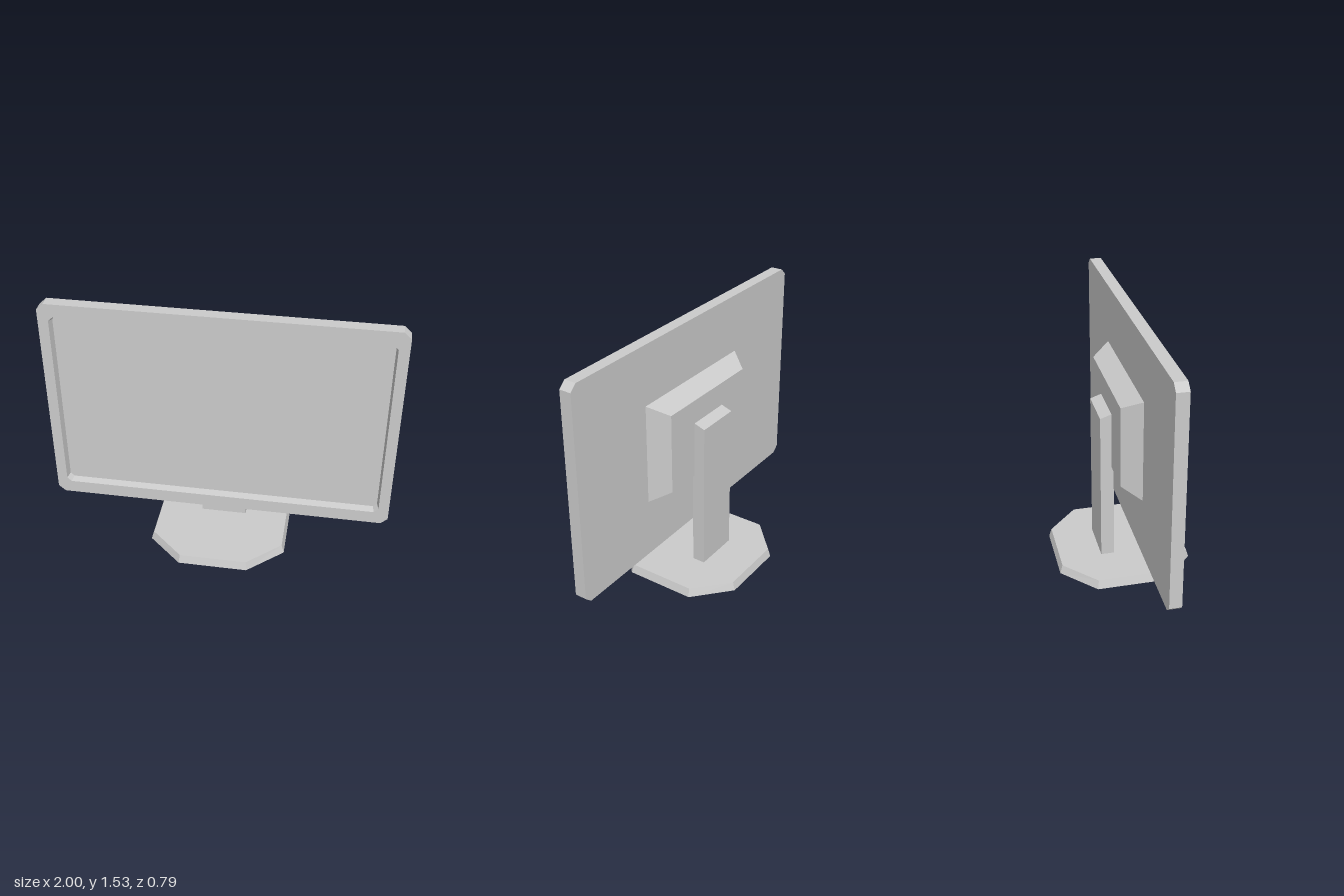
import * as THREE from 'three';

const material = new THREE.MeshStandardMaterial({ color: 0xcccccc, flatShading: true });

// Rectangle with cut corners, counter-clockwise seen from +z
function cutRect(hw, hh, cx, cy, z) {
  return [
    [hw, -hh + cy], [hw, hh - cy], [hw - cx, hh], [-hw + cx, hh],
    [-hw, hh - cy], [-hw, -hh + cy], [-hw + cx, -hh], [hw - cx, -hh],
  ].map(([x, y]) => new THREE.Vector3(x, y, z));
}

// Plain rectangle, same winding
function rect(hw, hh, z) {
  return [[hw, -hh], [hw, hh], [-hw, hh], [-hw, -hh]].map(([x, y]) => new THREE.Vector3(x, y, z));
}

// Faceted skin through a list of rings, with optional end caps
function loft(rings, capStart = true, capEnd = true) {
  const pts = [];
  const n = rings[0].length;
  for (let r = 0; r < rings.length - 1; r++) {
    const a = rings[r], b = rings[r + 1];
    for (let i = 0; i < n; i++) {
      const j = (i + 1) % n;
      pts.push(a[i], a[j], b[j], a[i], b[j], b[i]);
    }
  }
  const first = rings[0], last = rings[rings.length - 1];
  for (let i = 1; i < n - 1; i++) {
    if (capStart) pts.push(first[0], first[i + 1], first[i]);
    if (capEnd) pts.push(last[0], last[i], last[i + 1]);
  }
  const geometry = new THREE.BufferGeometry().setFromPoints(pts);
  geometry.computeVertexNormals();
  return geometry;
}

export function createModel() {
  const model = new THREE.Group();
  model.name = 'monitor';
  const add = (name, geometry, x = 0, y = 0, z = 0) => {
    const mesh = new THREE.Mesh(geometry, material);
    mesh.name = name;
    mesh.position.set(x, y, z);
    model.add(mesh);
  };

  // Display casing: back, outer edge, front rim and sloping recess wall
  const recess = cutRect(0.93, 0.56, 0.022, 0.022, 0.07);
  add('casing', loft([
    cutRect(1, 0.65, 0.04, 0.037, 0.042),
    cutRect(1, 0.65, 0.04, 0.037, 0.112),
    cutRect(0.94, 0.57, 0.025, 0.025, 0.112),
    recess,
  ], true, false), 0, 0.88, 0);

  // Screen at the bottom of the recess
  add('screen', new THREE.ShapeGeometry(new THREE.Shape(recess.map((p) => new THREE.Vector2(p.x, p.y)))), 0, 0.88, 0.07);

  // Tapered housing on the back
  add('backHousing', loft([rect(0.355, 0.24, -0.066), rect(0.435, 0.3, 0.042)]), 0, 0.88, 0);

  // Stand post with its top sloping down to the rear
  const post = new THREE.BoxGeometry(0.275, 0.94, 0.077).toNonIndexed();
  const pos = post.attributes.position;
  for (let i = 0; i < pos.count; i++) {
    if (pos.getY(i) > 0 && pos.getZ(i) < 0) pos.setY(i, pos.getY(i) - 0.027);
  }
  post.computeVertexNormals();
  add('standPost', post, 0, 0.513, -0.0925);

  // Eight-sided foot with sloping edges
  const foot = loft([
    cutRect(0.407, 0.393, 0.204, 0.185, 0),
    cutRect(0.392, 0.378, 0.194, 0.178, 0.05),
  ]);
  foot.rotateX(-Math.PI / 2);
  add('foot', foot);

  return model;
}
